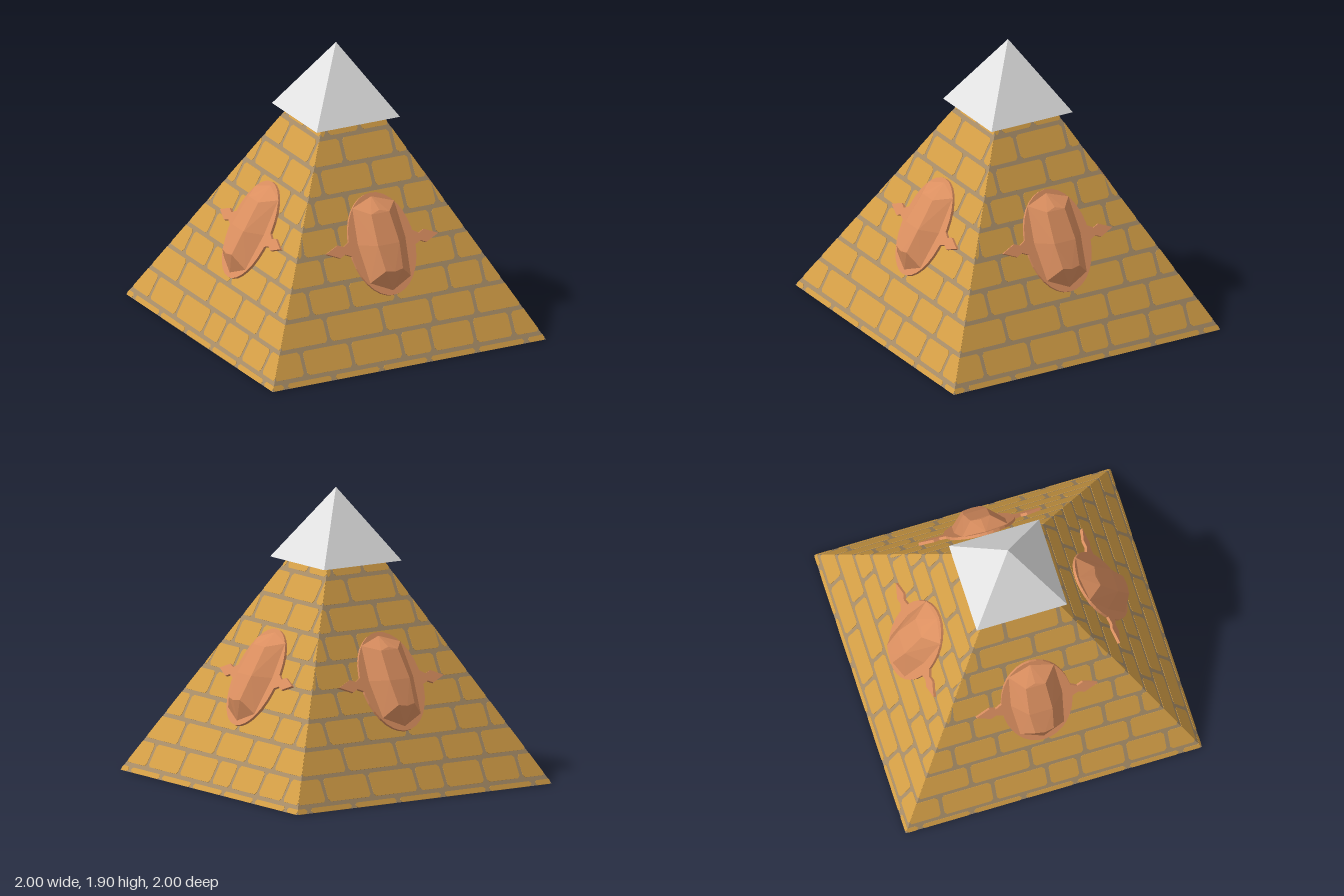
import * as THREE from 'three';
import { mergeGeometries } from 'three/addons/utils/BufferGeometryUtils.js';
import { ConvexGeometry } from 'three/addons/geometries/ConvexGeometry.js';

const SLOPE = 0.5455;                       // inward run per unit of height
const STRETCH = Math.hypot(1, SLOPE);       // slope length per unit of height
const APEX = 1 / SLOPE;

function material(name, color, side = THREE.FrontSide) {
  const m = new THREE.MeshStandardMaterial({ color, side, flatShading: true });
  m.name = name;
  return m;
}

function mesh(name, geometry, mat) {
  const m = new THREE.Mesh(geometry, mat);
  m.name = name;
  return m;
}

// Vertical joints of each brick course, from the ground up
const JOINTS = [
  [-0.9, -0.55, -0.2, 0.15, 0.5, 0.86],
  [-0.74, -0.385, -0.02, 0.195, 0.505, 0.785],
  [-0.52, -0.11, 0.25, 0.56],
  [-0.6, -0.305, 0.02, 0.415, 0.665],
  [-0.445, -0.1, 0.17, 0.51],
  [-0.565, -0.295, 0.05, 0.395, 0.59],
  [-0.415, -0.17, 0.235, 0.465],
  [-0.32, 0.05, 0.34],
  [-0.115, 0.25],
  [-0.2, 0.04],
  [0.0],
];

// One brick plate with clipped corners, trimmed to the triangular face
function brick(x0, x1, y0, y1) {
  const c = 0.016;
  const outline = [
    [x0 + c, y0], [x1 - c, y0], [x1, y0 + c], [x1, y1 - c],
    [x1 - c, y1], [x0 + c, y1], [x0, y1 - c], [x0, y0 + c],
  ].map(([x, y]) => {
    const half = 1 - SLOPE * y;
    return new THREE.Vector2(THREE.MathUtils.clamp(x, -half, half), y * STRETCH);
  });
  const g = new THREE.ExtrudeGeometry(new THREE.Shape(outline), { depth: 0.004, bevelEnabled: false });
  return g.translate(0, 0, -0.002);
}

function brickwork() {
  const plates = [];
  JOINTS.forEach((joints, row) => {
    const bottom = 0.055 + 0.1645 * (row - 1);
    const y0 = Math.max(0, bottom), y1 = bottom + 0.14;
    const wide = 1 - SLOPE * y0;
    const inside = joints.filter((x) => Math.abs(x) < wide - 0.03);
    const ends = [-wide - 0.013, ...inside, wide + 0.013];
    for (let i = 0; i + 1 < ends.length; i++) {
      plates.push(brick(ends[i] + 0.013, ends[i + 1] - 0.013, y0, y1));
    }
  });
  return mergeGeometries(plates);
}

// Mirrors a right-hand list of points to both sides
const bothSides = (points) => points.flatMap(([x, y, z]) => [
  new THREE.Vector3(x, y, z), new THREE.Vector3(-x, y, z),
]);

function beetle(copper) {
  const g = new THREE.Group();
  g.name = 'beetleOrnament';

  // Oval back plate
  const oval = new THREE.Shape();
  oval.absellipse(0, 0, 0.235, 0.34, 0, Math.PI * 2);
  const thin = { depth: 0.02, bevelEnabled: false, curveSegments: 16 };
  g.add(mesh('ornamentPlate', new THREE.ExtrudeGeometry(oval, thin), copper));

  // Pointed legs on both sides
  const leg = [[0.2, -0.06], [0.275, -0.025], [0.315, -0.043], [0.41, 0], [0.315, 0.043], [0.275, 0.025], [0.2, 0.07]];
  for (const side of [1, -1]) {
    const pts = leg.map(([x, y]) => new THREE.Vector2(x * side, y));
    g.add(mesh(side > 0 ? 'leftLeg' : 'rightLeg', new THREE.ExtrudeGeometry(new THREE.Shape(pts), thin), copper));
  }

  // Faceted shell
  const rim = [[0, 0.317], [0.155, 0.262], [0.175, 0.02], [0.15, -0.24], [0, -0.312]];
  const crown = [[0, 0.212, 0.09], [0.066, 0.19, 0.095], [0.078, -0.02, 0.112], [0.062, -0.19, 0.108], [0, -0.203, 0.11]];
  const points = bothSides([...rim.map(([x, y]) => [x, y, 0.018]), ...crown]);
  g.add(mesh('ornamentShell', new ConvexGeometry(points), copper));
  return g;
}

export function createModel() {
  const model = new THREE.Group();
  model.name = 'pyramid';
  const stone = material('sandBrick', 0xd6a047);
  const mortar = material('mortar', 0xa98e68, THREE.DoubleSide);
  const copper = material('copper', 0xdb8f60);
  const grey = material('paleGrey', 0xe4e4e4);

  // Hollow body, open at the bottom
  const shell = new THREE.ConeGeometry(Math.SQRT2, APEX, 4, 1, true);
  shell.rotateY(Math.PI / 4).translate(0, APEX / 2, 0);
  model.add(mesh('pyramidBody', shell, mortar));

  // Overhanging capstone
  const cap = new THREE.ConeGeometry(0.305 * Math.SQRT2, 0.47, 4);
  cap.rotateY(Math.PI / 4).translate(0, 1.665, 0);
  model.add(mesh('capstone', cap, grey));

  // Bricks and ornament on each of the four faces
  const bricks = brickwork();
  for (let i = 0; i < 4; i++) {
    const turn = new THREE.Group();
    turn.name = 'face' + (i + 1);
    turn.rotation.y = i * Math.PI / 2;
    const slope = new THREE.Group();
    slope.name = 'slopedFace';
    slope.position.z = 1;
    slope.rotation.x = -Math.atan(SLOPE);
    const ornament = beetle(copper);
    ornament.position.y = 0.71 * STRETCH;
    slope.add(mesh('bricks', bricks, stone), ornament);
    turn.add(slope);
    model.add(turn);
  }
  return model;
}
